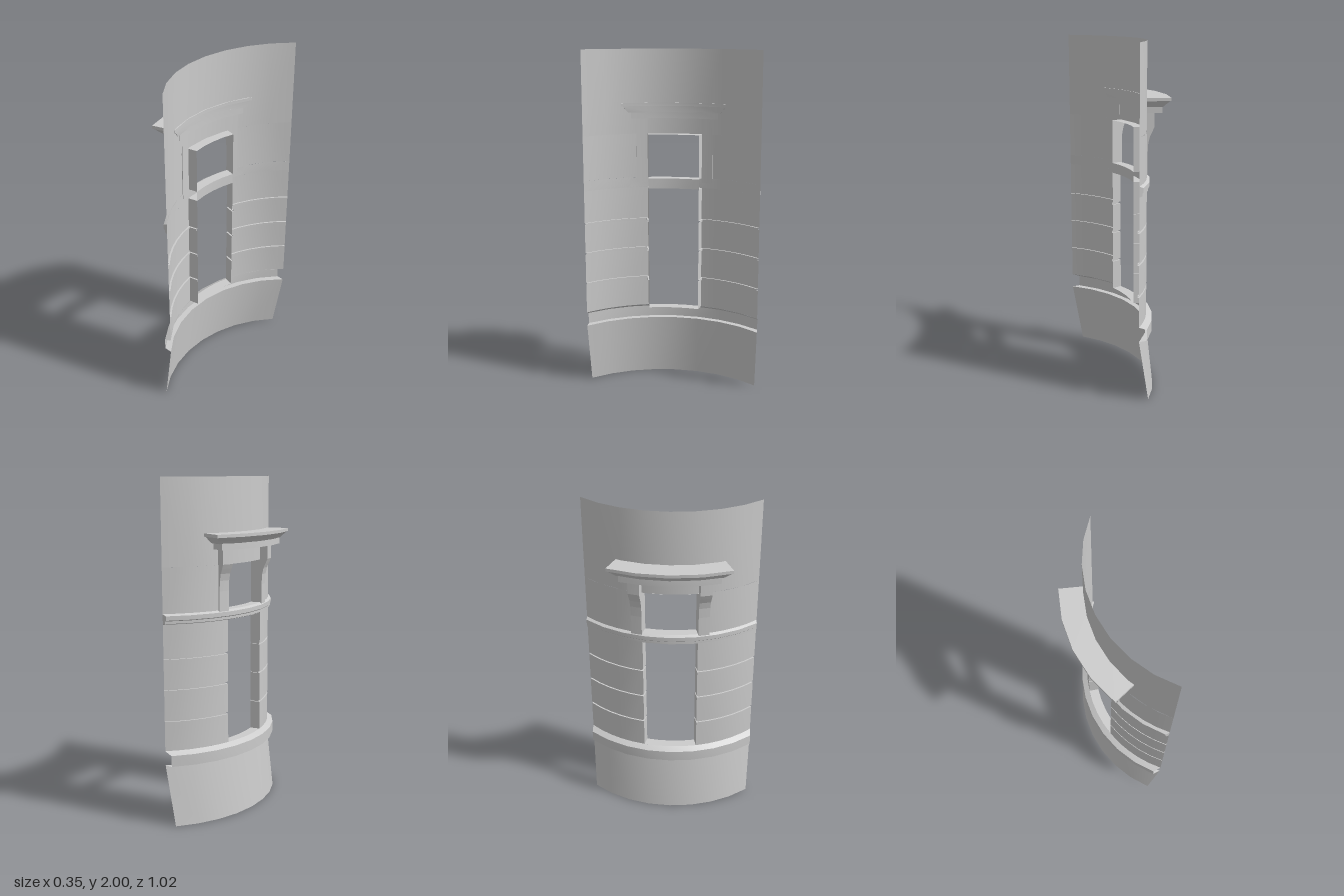
import * as THREE from 'three';

const CX = 0.675;            // axis of the curved wall
const R = 0.72, RIN = 0.66;  // wall radius, inner radius of the reveals
const DOOR = 13;             // half angle of the openings, degrees
const mat = new THREE.MeshStandardMaterial({ color: 0xcccccc, side: THREE.DoubleSide });

// polar point [radius, height, angle]; angle 0 is the middle of the bulge at -x
function place([r, y, a]) {
  const t = THREE.MathUtils.degToRad(a);
  return [CX - r * Math.cos(t), y, r * Math.sin(t)];
}

// half angle at which the wall ends for a given radius
const endAngle = (r, z = 0.51) => Math.min(45, THREE.MathUtils.radToDeg(Math.asin(z / r)));

// ruled surface between two matching profiles, creased at each profile point
function ruled(A, B, segs, closed = false) {
  const pos = [], idx = [];
  const mix = (i, t) => A[i].map((v, k) => v + (B[i][k] - v) * t);
  const n = A.length;
  for (let i = 0; i < (closed ? n : n - 1); i++) {
    const j = (i + 1) % n;
    const base = pos.length / 3;
    for (let s = 0; s <= segs; s++) {
      pos.push(...place(mix(i, s / segs)), ...place(mix(j, s / segs)));
      if (s < segs) {
        const p = base + s * 2;
        idx.push(p, p + 2, p + 1, p + 1, p + 2, p + 3);
      }
    }
  }
  if (closed) {
    // end caps
    const tris = THREE.ShapeUtils.triangulateShape(A.map(p => new THREE.Vector2(p[0], p[1])), []);
    [A, B].forEach((P, e) => {
      const base = pos.length / 3;
      P.forEach(p => pos.push(...place(p)));
      tris.forEach(([a, b, c]) => idx.push(base + a, base + (e ? c : b), base + (e ? b : c)));
    });
  }
  const g = new THREE.BufferGeometry();
  g.setAttribute('position', new THREE.Float32BufferAttribute(pos, 3));
  g.setIndex(idx);
  g.computeVertexNormals();
  return g;
}

export function createModel() {
  const group = new THREE.Group();
  const add = (name, A, B, segs = 1, closed = false) => {
    const mesh = new THREE.Mesh(ruled(A, B, segs, closed), mat);
    mesh.name = name;
    group.add(mesh);
  };
  // symmetric arc; each profile point is [r, y, halfAngle?]
  const arc = (name, profile, segs = 8, closed = false) => {
    const at = s => profile.map(([r, y, a = endAngle(r)]) => [r, y, s * a]);
    add(name, at(-1), at(1), segs, closed);
  };

  // battered base and the ledge above it
  arc('base', [[0.76, 0, endAngle(0.76, 0.5)], [R, 0.365]]);
  arc('ledge', [[R, 0.365], [0.755, 0.365], [0.755, 0.43], [R, 0.45]]);

  // wall levels beside the door: [radius, y, jamb angle], stepped at the grooves
  const levels = [[R, 0.45, DOOR]];
  for (const y of [0.63, 0.815, 0.995]) {
    levels.push([R, y - 0.006, DOOR], [R - 0.01, y - 0.006, DOOR + 0.8],
      [R - 0.01, y + 0.006, DOOR + 0.8], [R, y + 0.006, DOOR]);
  }
  levels.push([R, 1.19, DOOR]);

  // window levels
  const windowLevels = [[R, 1.25, DOOR], [R, 1.51, DOOR]];

  // corbelled pilaster outline, radius and height
  const bracket = [[0.715, 1.22], [0.73, 1.22], [0.73, 1.36], [0.733, 1.42],
    [0.742, 1.46], [0.756, 1.49], [0.767, 1.515], [0.767, 1.6], [0.715, 1.6]];

  for (const s of [-1, 1]) {
    const side = s > 0 ? 'left' : 'right';
    for (const [part, rows] of [['Door', levels], ['Window', windowLevels]]) {
      const jamb = rows.map(([r, y, a]) => [r, y, s * a]);
      add(side + part + 'Pier', jamb, rows.map(([r, y]) => [r, y, s * endAngle(r)]), 5);
      add(side + part + 'Jamb', jamb, jamb.map(([, y, a]) => [RIN, y, a]));
    }
    add(side + 'Pilaster', bracket.map(([r, y]) => [r, y, s * DOOR]),
      bracket.map(([r, y]) => [r, y, s * 18.2]), 2, true);
  }

  // full-width wall strips
  arc('wallBelowWindow', [[R, 1.19], [R, 1.25]]);
  arc('upperWall', [[R, 1.51], [R, 2]]);

  // sills and soffits lining the openings
  const linings = { doorSill: 0.45, doorSoffit: 1.19, windowSill: 1.25, windowSoffit: 1.51 };
  for (const [name, y] of Object.entries(linings)) {
    arc(name, [[RIN, y, DOOR], [R, y, DOOR]], 4);
  }
  arc('transomInnerFace', [[RIN, 1.19, DOOR], [RIN, 1.25, DOOR]], 4);

  // moulded string course under the window
  arc('stringCourse', [[R, 1.19], [0.732, 1.195], [0.732, 1.21], [0.738, 1.215],
    [0.738, 1.24], [R, 1.25]], 8, true);

  // cornice: frieze block, flared moulding and top slab
  arc('corniceBlock', [[0.715, 1.6, 20.8], [0.808, 1.6, 20.8],
    [0.808, 1.64, 20.8], [0.715, 1.64, 20.8]], 4, true);
  arc('corniceMoulding', [[0.715, 1.635, 22], [0.808, 1.635, 22],
    [0.822, 1.65, 23], [0.847, 1.672, 24.2], [0.715, 1.672, 24.8]], 4, true);
  arc('corniceSlab', [[0.715, 1.672, 25.4], [0.852, 1.672, 24.4],
    [0.852, 1.69, 24.4], [0.715, 1.69, 25.4]], 4, true);

  return group;
}
